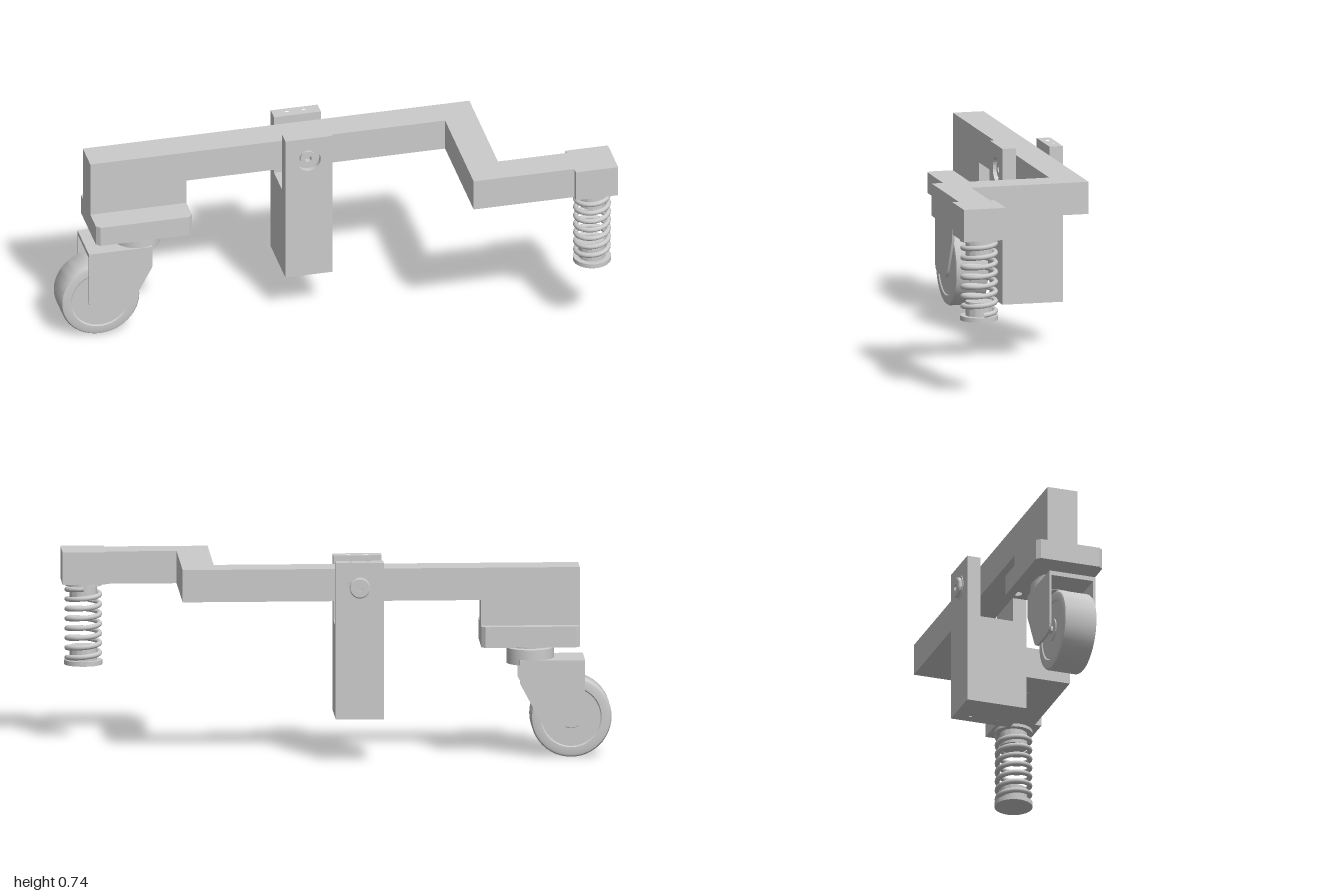
import * as THREE from 'three';
import { toCreasedNormals } from 'three/addons/utils/BufferGeometryUtils.js';

const mat = new THREE.MeshStandardMaterial({ color: 0xcccccc });

export function createModel() {
  const root = new THREE.Group();

  const add = (name, geometry, parent = root) => {
    const m = new THREE.Mesh(geometry, mat);
    m.name = name;
    parent.add(m);
    return m;
  };
  const group = (name) => {
    const g = new THREE.Group();
    g.name = name;
    root.add(g);
    return g;
  };
  // Box from its minimum and maximum on each axis
  const box = (name, x0, x1, y0, y1, z0, z1, parent) =>
    add(name, new THREE.BoxGeometry(x1 - x0, y1 - y0, z1 - z0)
      .translate((x0 + x1) / 2, (y0 + y1) / 2, (z0 + z1) / 2), parent);
  const shapeOf = (pts, holes = []) => {
    const s = new THREE.Shape(pts.map(([x, y]) => new THREE.Vector2(x, y)));
    for (const [x, y, r] of holes) s.holes.push(new THREE.Path().absarc(x, y, r, 0, Math.PI * 2, true));
    return s;
  };
  const extrude = (shape, depth) => toCreasedNormals(
    new THREE.ExtrudeGeometry(shape, { depth, bevelEnabled: false, curveSegments: 20 }), 0.6);
  // Horizontal slab from an [x, z] outline, with round holes [x, z, r]
  const slab = (name, pts, y0, y1, holes = [], parent = root) =>
    add(name, extrude(shapeOf(pts.map(([x, z]) => [x, -z]), holes.map(([x, z, r]) => [x, -z, r])), y1 - y0)
      .rotateX(-Math.PI / 2).translate(0, y0, 0), parent);
  const rect = (x0, x1, z0, z1) => [[x0, z0], [x1, z0], [x1, z1], [x0, z1]];
  // Turned part about y, or about z
  const turned = (name, pts, [x, y, z], alongZ, parent) => {
    const g = new THREE.LatheGeometry(pts.map((p) => new THREE.Vector2(...p)), 48);
    if (alongZ) g.rotateX(Math.PI / 2);
    return add(name, toCreasedNormals(g, 0.6).translate(x, y, z), parent);
  };
  const disc = (r, h0, h1) => [[0, h0], [r, h0], [r, h1], [0, h1]];

  // Cranked arm, riser and end block
  slab('arm', [[-0.88, -0.26], [0.58, -0.26], [0.58, 0.187], [0.84, 0.187], [0.84, 0.305],
    [0.46, 0.305], [0.46, -0.143], [-0.88, -0.143]], 0.592, 0.712);
  box('armEndBlock', 0.84, 1, 0.592, 0.712, 0.17, 0.33);
  box('casterRiser', -0.88, -0.517, 0.497, 0.592, -0.26, -0.143);

  // Caster mounting plate with clipped corners and blind bolt holes below
  const plate = group('casterPlate');
  const c = 0.015, px0 = -0.88, px1 = -0.517, pz0 = -0.3, pz1 = -0.042;
  const outline = [[px0 + c, pz0], [px1 - c, pz0], [px1, pz0 + c], [px1, pz1 - c],
    [px1 - c, pz1], [px0 + c, pz1], [px0, pz1 - c], [px0, pz0 + c]];
  const bolts = [];
  for (const x of [-0.84, -0.557]) for (const z of [-0.262, -0.08]) bolts.push([x, z, 0.017]);
  slab('plateTop', outline, 0.45, 0.497, [], plate);
  slab('plateBottom', outline, 0.42, 0.45, bolts, plate);

  // Caster: swivel, fork, wheel and axle
  const caster = group('caster');
  const cz = -0.17;
  turned('swivel', [[0, 0.345], [0.087, 0.345], [0.087, 0.403], [0.072, 0.406], [0.072, 0.42], [0, 0.42]],
    [-0.702, 0, cz], false, caster);
  const fork = new THREE.Shape();
  fork.moveTo(-0.9, 0.365);
  fork.lineTo(-0.9, 0.165);
  fork.quadraticCurveTo(-0.9, 0.12, -0.855, 0.12);
  fork.lineTo(-0.775, 0.12);
  fork.quadraticCurveTo(-0.745, 0.12, -0.73, 0.15);
  fork.lineTo(-0.66, 0.28);
  fork.lineTo(-0.66, 0.365);
  for (const z of [-0.0895, -0.26]) add('forkSide', extrude(fork, 0.009).translate(0, 0, z), caster);
  box('forkTop', -0.9, -0.66, 0.348, 0.365, -0.255, -0.085, caster);
  const tread = [[0.108, 0.059], [0.112, 0.063], [0.135, 0.063], [0.144, 0.06], [0.149, 0.052]];
  const halfWheel = [[0, 0.063], [0.04, 0.063], [0.042, 0.059], [0.1, 0.059], ...tread];
  const wheelProfile = [...halfWheel.map(([r, h]) => [r, -h]), ...[...halfWheel].reverse()];
  turned('wheel', wheelProfile, [-0.85, 0.15, cz], true, caster);
  turned('axle', disc(0.014, -0.086, 0.086), [-0.85, 0.15, cz], true, caster);

  // Forked post with blind screw holes in its ends
  const post = group('post');
  const x0 = -0.157, x1 = 0.02, mx = (x0 + x1) / 2, pivotY = 0.65;
  const zb = -0.315, zf = -0.085;
  box('postBody', x0, x1, 0.18, 0.505, zb, zf, post);
  const baseHoles = [];
  for (const x of [mx - 0.045, mx + 0.045]) for (const z of [-0.255, -0.145]) baseHoles.push([x, z, 0.008]);
  slab('postBase', rect(x0, x1, zb, zf), 0.16, 0.18, baseHoles, post);
  for (const [a, b] of [[zb, -0.264], [-0.136, zf]]) {
    const side = [[x0, 0.505], [x1, 0.505], [x1, 0.727], [x0, 0.727]];
    add('postCheek', extrude(shapeOf(side, [[mx, pivotY, 0.066]]), b - a).translate(0, 0, a), post);
    const zm = (a + b) / 2;
    slab('cheekCap', rect(x0, x1, a, b), 0.727, 0.742,
      [[mx - 0.032, zm, 0.008], [mx + 0.032, zm, 0.008]], post);
  }

  // Pivot: bearing rings flush with the cheeks, through bolt and rear hub
  const pivot = group('pivot');
  for (const [a, b] of [[zb, -0.264], [-0.136, zf]])
    turned('bearing', [[0.045, a], [0.066, a], [0.066, b], [0.045, b], [0.045, a]],
      [mx, pivotY, 0], true, pivot);
  turned('pivotBolt', [[0, -0.318], [0.046, -0.318], [0.046, -0.105], [0.03, -0.105], [0.03, -0.095],
    [0.013, -0.095], [0.013, -0.115], [0, -0.115]], [mx, pivotY, 0], true, pivot);
  turned('pivotHub', [[0, -0.322], [0.012, -0.322], [0.012, -0.33], [0.034, -0.33], [0.038, -0.327],
    [0.038, -0.31], [0, -0.31]], [mx, pivotY, 0], true, pivot);

  // Spring foot: coil between two flanged seats
  const foot = group('springFoot');
  const fx = 0.92, fz = 0.25;
  turned('upperSeat', [[0, 0.525], [0.05, 0.525], [0.05, 0.58], [0.07, 0.58], [0.07, 0.592], [0, 0.592]],
    [fx, 0, fz], false, foot);
  turned('lowerSeat', [[0, 0.295], [0.07, 0.295], [0.07, 0.302], [0.05, 0.302], [0.05, 0.355], [0, 0.355]],
    [fx, 0, fz], false, foot);
  const ring = Array.from({ length: 48 }, (_, i) => {
    const t = (i / 48) * Math.PI * 2;
    return [fx + 0.07 * Math.cos(t), fz + 0.07 * Math.sin(t)];
  });
  const footHoles = [0, 1, 2].map((i) => {
    const t = (i / 3) * Math.PI * 2;
    return [fx + 0.035 * Math.cos(t), fz + 0.035 * Math.sin(t), 0.009];
  });
  slab('footPad', ring, 0.285, 0.295, footHoles, foot);
  const turns = 7.3, coil = [];
  for (let i = 0; i <= turns * 16; i++) {
    const t = (i / 16) * Math.PI * 2;
    coil.push(new THREE.Vector3(fx + 0.06 * Math.cos(t), 0.31 + (0.264 * i) / (turns * 16), fz - 0.06 * Math.sin(t)));
  }
  add('spring', new THREE.TubeGeometry(new THREE.CatmullRomCurve3(coil), 400, 0.0095, 10), foot);

  return root;
}
